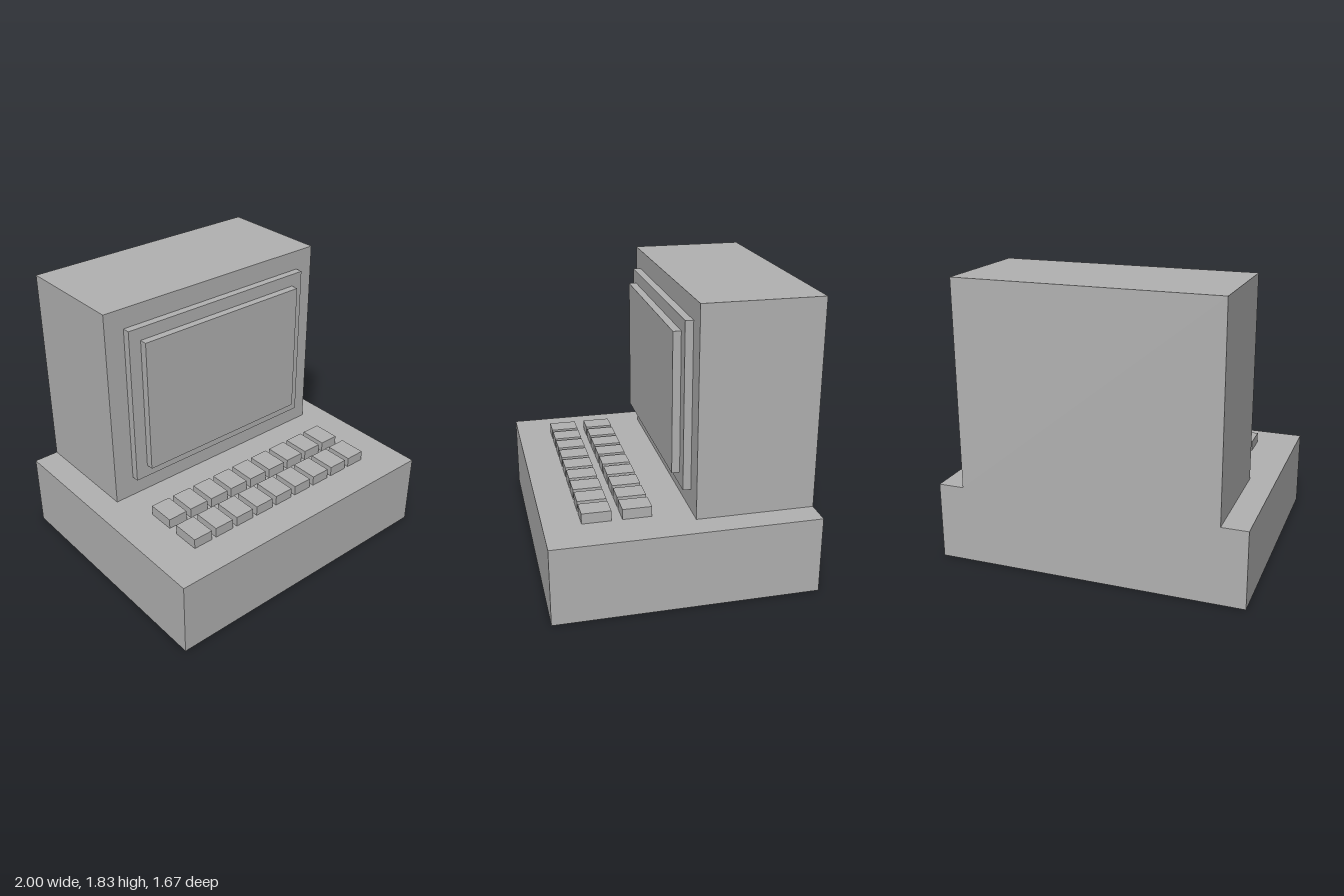
import * as THREE from 'three';

export function createModel() {
  const model = new THREE.Group();
  model.name = 'desktopComputer';

  const casing = new THREE.MeshStandardMaterial({ color: 0xb2b2b2 });
  casing.name = 'grey casing';

  // Adds a box given its extents on each axis
  function addBox(parent, name, [x0, x1], [y0, y1], [z0, z1]) {
    const mesh = new THREE.Mesh(new THREE.BoxGeometry(x1 - x0, y1 - y0, z1 - z0), casing);
    mesh.position.set((x0 + x1) / 2, (y0 + y1) / 2, (z0 + z1) / 2);
    mesh.name = name;
    parent.add(mesh);
  }

  // Base housing and monitor with a stepped screen
  addBox(model, 'base', [-1, 1], [0, 0.5], [-0.833, 0.833]);
  addBox(model, 'monitor', [-0.833, 0.833], [0.5, 1.833], [-0.833, -0.083]);
  addBox(model, 'bezel', [-0.7, 0.7], [0.637, 1.703], [-0.083, -0.033]);
  addBox(model, 'screen', [-0.617, 0.617], [0.72, 1.62], [-0.033, 0.017]);

  // Keyboard: two rows of nine keys
  const keyboard = new THREE.Group();
  keyboard.name = 'keyboard';
  for (const z of [0.167, 0.417]) {
    for (let i = -4; i <= 4; i++) {
      const x = i / 6;
      addBox(keyboard, 'key', [x - 0.067, x + 0.067], [0.5, 0.567], [z, z + 0.183]);
    }
  }
  model.add(keyboard);

  return model;
}
